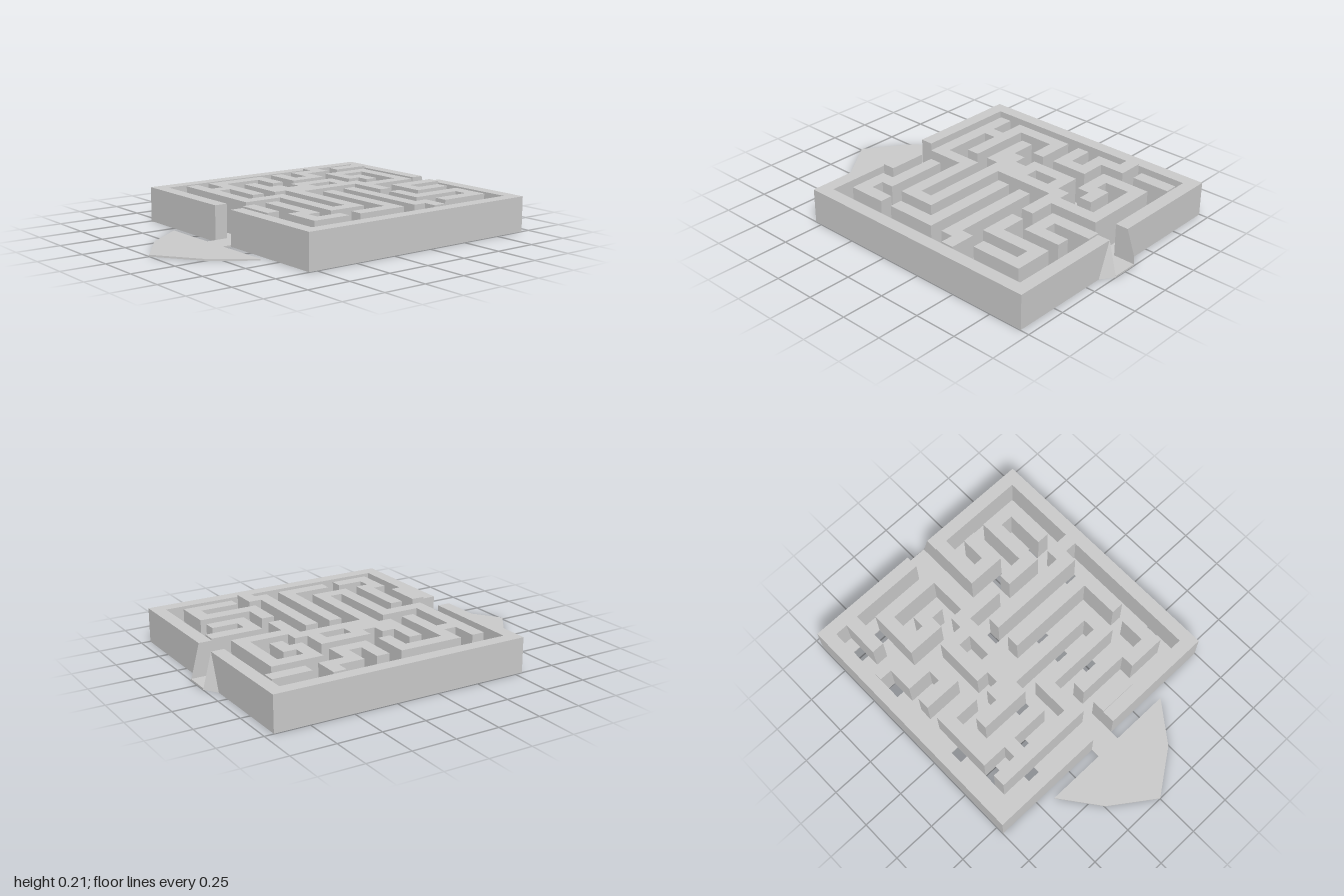
import * as THREE from 'three';
import { ConvexGeometry } from 'three/addons/geometries/ConvexGeometry.js';

// Inner maze seen from above, back row first: # wall, . path, o drop hole
const MAZE = [
  '.#........#....o..',
  'o#o######.#.#.###.',
  '.#.#....#.#.#.#.#.',
  '...#.##.#.###.#.#.',
  '##.###..#...o.#o#.',
  'o#.....####.###...',
  '.###.###........##',
  '...#.#.#o########.',
  '.###.#.#........o.',
  '.....###.########.',
  '.###..##...o....#.',
  '.#...##########.#.',
  'o#.####....o..#.#.',
  '.#....o.#######...',
  '.######.#...o...#.',
  '.o.#o...#.#####.#o',
  '.########.....###.',
  '...o......###.....',
];
// Outer frame (=) with a two-cell gateway at the back and front
const edge = '=========..=========';
const GRID = [edge, ...MAZE.map((row) => `=${row}=`), edge];

const CELL = 0.0747;
const BACK = -0.947;
const FRONT = BACK + 20 * CELL;
const GATE = CELL;      // half width of the gateway
const FLOOR = 0.01;
const HEIGHT = { '#': 0.21, '=': 0.2, '.': FLOOR, o: 0 };

const material = new THREE.MeshStandardMaterial({ color: 0xcccccc, flatShading: true });

const kindAt = (r, c) => GRID[r]?.[c] ?? 'o';

// All cells of one kind as a solid, leaving out faces hidden by neighbours
function cellBlocks(kind) {
  const positions = [];
  const quad = (a, b, c, d) => positions.push(...a, ...b, ...c, ...a, ...c, ...d);
  const top = HEIGHT[kind];
  const h = CELL / 2;
  GRID.forEach((row, r) => [...row].forEach((k, c) => {
    if (k !== kind) return;
    const x = (c - 9.5) * CELL;
    const z = BACK + (r + 0.5) * CELL;
    quad([x - h, top, z + h], [x + h, top, z + h], [x + h, top, z - h], [x - h, top, z - h]);
    quad([x - h, 0, z - h], [x + h, 0, z - h], [x + h, 0, z + h], [x - h, 0, z + h]);
    for (const [dx, dz] of [[1, 0], [-1, 0], [0, 1], [0, -1]]) {
      const low = HEIGHT[kindAt(r + dz, c + dx)];
      if (low >= top) continue;
      const ax = x + (dx - dz) * h, az = z + (dz + dx) * h;
      const bx = x + (dx + dz) * h, bz = z + (dz - dx) * h;
      quad([ax, low, az], [bx, low, bz], [bx, top, bz], [ax, top, az]);
    }
  }));
  const geometry = new THREE.BufferGeometry();
  geometry.setAttribute('position', new THREE.Float32BufferAttribute(positions, 3));
  geometry.computeVertexNormals();
  return geometry;
}

export function createModel() {
  const model = new THREE.Group();
  model.name = 'mazeTray';
  const add = (name, geometry) => {
    const mesh = new THREE.Mesh(geometry, material);
    mesh.name = name;
    model.add(mesh);
    return mesh;
  };

  add('outerFrame', cellBlocks('='));
  add('mazeWalls', cellBlocks('#'));
  add('mazeFloor', cellBlocks('.'));

  // Flat pointed plate on a short stem in front of the gateway
  const outline = [
    [-GATE, FRONT], [-GATE, 0.6], [-0.415, 0.6], [-0.245, 0.825], [0, 1],
    [0.245, 0.825], [0.415, 0.6], [GATE, 0.6], [GATE, FRONT],
  ].map(([x, z]) => new THREE.Vector2(x, z));
  const plate = new THREE.ExtrudeGeometry(new THREE.Shape(outline), { depth: FLOOR, bevelEnabled: false });
  plate.rotateX(Math.PI / 2).translate(0, FLOOR, 0);
  add('frontPointer', plate);

  // Floor lip behind the rear gateway
  const lip = add('rearLip', new THREE.BoxGeometry(2 * GATE, FLOOR, BACK + 1));
  lip.position.set(0, FLOOR / 2, (BACK - 1) / 2);

  // Sloping buttress on each side of the rear gateway
  for (const [name, s] of [['leftButtress', 1], ['rightButtress', -1]]) {
    add(name, new ConvexGeometry([
      new THREE.Vector3(s * GATE, 0, BACK),
      new THREE.Vector3(s * GATE, 0.2, BACK),
      new THREE.Vector3(s * GATE, 0, -1),
      new THREE.Vector3(s * 2 * GATE, 0, BACK),
    ]));
  }
  return model;
}
